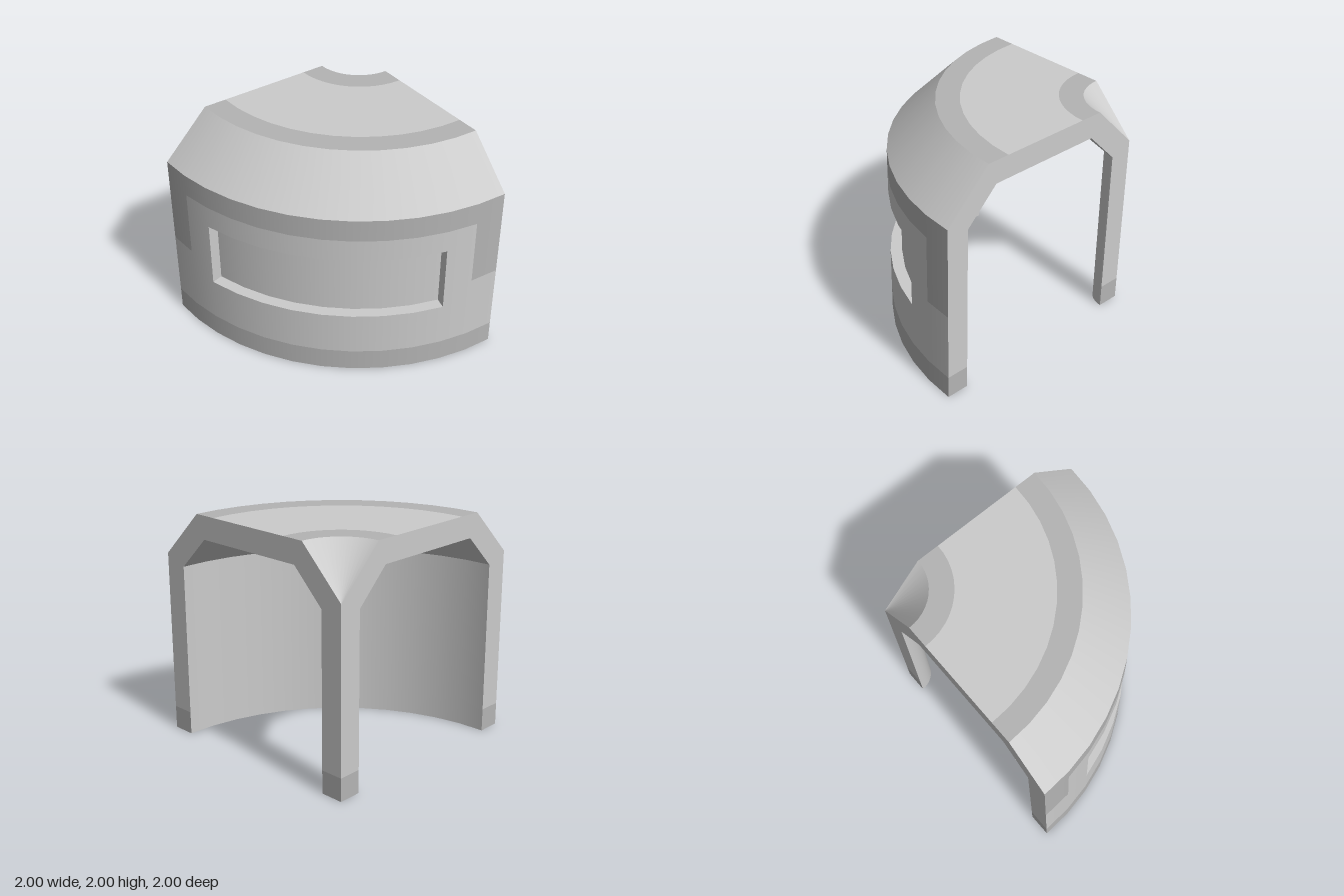
import * as THREE from 'three';

const STEPS = 12; // facets in the quarter turn
const STEP = Math.PI / 2 / STEPS;
const light = new THREE.MeshStandardMaterial({ color: 0xcccccc, side: THREE.DoubleSide });
const dark = new THREE.MeshStandardMaterial({ color: 0xb4b4b4, side: THREE.DoubleSide });

export function createModel() {
  const model = new THREE.Group();
  model.name = 'quarterDome';
  // the axis of revolution stands in the back corner
  const body = new THREE.Group();
  body.name = 'body';
  body.position.set(-1, 0, -1);
  model.add(body);

  const add = (name, geometry, material = light) => {
    const mesh = new THREE.Mesh(geometry, material);
    mesh.name = name;
    body.add(mesh);
    return mesh;
  };
  // one straight profile piece (radius, height) swept between two facet numbers
  const sweep = (name, from, to, material = light, a = 0, b = STEPS) => add(name,
    new THREE.LatheGeometry([new THREE.Vector2(...from), new THREE.Vector2(...to)], b - a, a * STEP, (b - a) * STEP),
    material);

  // outer wall, in patches around the recess: y0, y1, first facet, last facet, material
  [
    [0, 0.2, 0, 12, dark], [0.2, 0.6, 0, 12, light],
    [0.6, 0.8, 0, 2, light], [0.6, 0.8, 10, 12, light],
    [0.8, 1.4, 0, 1, dark], [0.8, 1.4, 11, 12, dark],
    [0.8, 1.2, 1, 2, light], [0.8, 1.2, 10, 11, light],
    [1.2, 1.4, 1, 11, light], [1.4, 1.6, 0, 12, dark],
  ].forEach(([y0, y1, a, b, m]) => sweep('outerWall', [2, y0], [2, y1], m, a, b));

  // recessed panel with sill, lintel and jambs
  sweep('recessPanel', [1.9, 0.6], [1.9, 1.2], light, 2, 10);
  sweep('recessSill', [2, 0.6], [1.9, 0.6], light, 2, 10);
  sweep('recessLintel', [1.9, 1.2], [2, 1.2], light, 2, 10);
  for (const i of [2, 10]) {
    add('recessJamb', new THREE.PlaneGeometry(0.1, 0.6).translate(1.95, 0.9, 0).rotateY(i * STEP - Math.PI / 2));
  }

  // shoulder, roof and central funnel
  sweep('shoulder', [2, 1.6], [1.6, 2]);
  sweep('roofOuterBand', [1.6, 2], [1.4, 2], dark);
  sweep('roof', [1.4, 2], [0.6, 2]);
  sweep('roofInnerBand', [0.6, 2], [0.4, 2], dark);
  sweep('funnel', [0.4, 2], [0, 1.6]);

  // post and inner shell, 0.2 inside the outer surface
  const inner = [[0.2, 0], [0.2, 1.517], [0.483, 1.8], [1.517, 1.8], [1.8, 1.517], [1.8, 0]];
  ['post', 'innerFunnel', 'ceiling', 'innerShoulder', 'innerWall']
    .forEach((name, i) => sweep(name, inner[i], inner[i + 1]));
  sweep('postFoot', [0, 0], [0.2, 0], dark);
  sweep('wallFoot', [1.8, 0], [2, 0], dark);

  // flat end faces on the two cut planes
  const face = (points) => new THREE.ShapeGeometry(new THREE.Shape(points.map((p) => new THREE.Vector2(...p))));
  const section = [
    [0, 0.2], [0.2, 0.2], ...inner.slice(1, 5), [1.8, 0.2], [2, 0.2], [2, 1.6], [1.6, 2], [0.4, 2], [0, 1.6],
  ];
  const foot = (x) => [[x, 0], [x + 0.2, 0], [x + 0.2, 0.2], [x, 0.2]];
  // the second plane is mirrored so both faces look outward
  for (const side of ['left', 'back']) {
    const parts = [['EndFace', section, light], ['PostBase', foot(0), dark], ['WallBase', foot(1.8), dark]];
    for (const [name, points, material] of parts) {
      const mesh = add(side + name, face(points), material);
      if (side === 'left') mesh.rotation.y = -Math.PI / 2;
      else mesh.scale.z = -1;
    }
  }
  return model;
}
